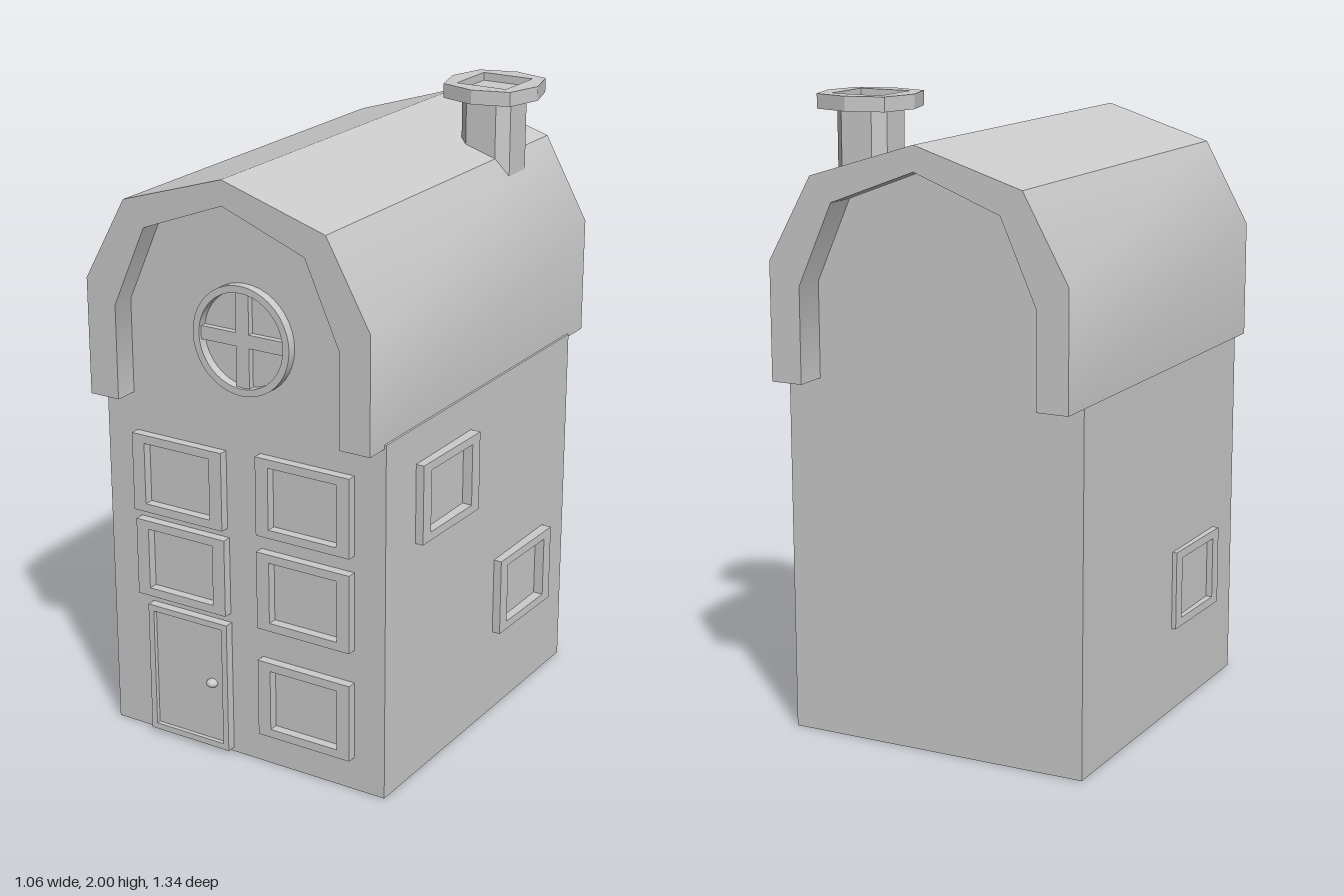
import * as THREE from 'three';
import { toCreasedNormals } from 'three/addons/utils/BufferGeometryUtils.js';

const material = new THREE.MeshStandardMaterial({ color: 0xcccccc });
const FRONT = 0.59, BACK = -0.56;

const vectors = (points) => points.map(([x, y]) => new THREE.Vector2(x, y));
const rectangle = (w, h) => vectors([[-w / 2, -h / 2], [w / 2, -h / 2], [w / 2, h / 2], [-w / 2, h / 2]]);

function addMesh(parent, name, geometry, x = 0, y = 0, z = 0) {
  const mesh = new THREE.Mesh(geometry, material);
  mesh.name = name;
  mesh.position.set(x, y, z);
  parent.add(mesh);
  return mesh;
}

// Flat outline with an optional hole, extruded along +z
function slab(outline, depth, hole) {
  const shape = new THREE.Shape(outline);
  if (hole) shape.holes.push(new THREE.Path(hole));
  return new THREE.ExtrudeGeometry(shape, { depth, bevelEnabled: false });
}

// Rectangular raised frame; its back sinks slightly into the wall
function addFrame(parent, name, x, y, w, h, border) {
  return addMesh(parent, name, slab(rectangle(w, h), 0.04, rectangle(w - 2 * border, h - 2 * border)), x, y, FRONT - 0.01);
}

function windowGeometry() {
  return slab(rectangle(0.33, 0.255), 0.04, rectangle(0.24, 0.2));
}

function createWalls(house) {
  const outline = vectors([
    [-0.507, 0], [0.494, 0], [0.494, 1.155], [0.42, 1.155], [0.42, 1.45], [0.3, 1.72],
    [-0.01, 1.835], [-0.32, 1.72], [-0.44, 1.45], [-0.44, 1.155], [-0.507, 1.155],
  ]);
  addMesh(house, 'walls', slab(outline, FRONT - BACK), 0, 0, BACK);
}

function createRoof(house) {
  // Half profiles measured from the ridge line
  const outer = [[0.498, 1.142], [0.498, 1.512], [0.351, 1.776], [0, 1.885]];
  const inner = [[0, 1.807], [0.28, 1.7], [0.395, 1.442], [0.395, 1.142]];
  const mirror = (points) => points.map(([x, y]) => [-x, y]).reverse();
  const profile = [...outer, ...mirror(outer.slice(0, 3)), ...mirror(inner.slice(1)), ...inner];
  const geometry = toCreasedNormals(slab(vectors(profile), 1.336), 0.54);
  addMesh(house, 'gambrelRoof', geometry, -0.011, 0, -0.668);
}

function createChimney(house) {
  const chimney = new THREE.Group();
  chimney.name = 'chimney';
  chimney.position.set(0.287, 0, -0.4);
  house.add(chimney);
  const a = 0.086, b = 0.052;
  const shaft = vectors([[a, -b], [a, b], [b, a], [-b, a], [-a, b], [-a, -b], [-b, -a], [b, -a]]);
  const r = 0.151, d = 0.117;
  const cap = vectors([[r, 0], [d, d], [0, r], [-d, d], [-r, 0], [-d, -d], [0, -r], [d, -d]]);
  const upright = (geometry) => geometry.rotateX(-Math.PI / 2);
  addMesh(chimney, 'chimneyShaft', upright(slab(shaft, 0.32)), 0, 1.64);
  addMesh(chimney, 'capBase', upright(slab(cap, 0.02)), 0, 1.955);
  addMesh(chimney, 'capRim', upright(slab(cap, 0.025, rectangle(0.172, 0.172))), 0, 1.975);
}

function createWindows(house) {
  // Front windows
  for (const [x, y] of [[-0.232, 0.893], [-0.226, 0.608], [0.222, 0.91], [0.222, 0.601], [0.222, 0.237]]) {
    addMesh(house, 'frontWindow', windowGeometry(), x, y, FRONT - 0.01);
  }
  // Side windows, set very slightly askew
  for (const [side, y, z] of [[1, 0.91, 0.253], [1, 0.406, -0.248], [-1, 0.406, 0.265]]) {
    const frame = addMesh(house, 'sideWindow', windowGeometry(), side > 0 ? 0.484 : -0.485, y, z);
    frame.rotation.y = side * Math.PI / 2 - 0.02;
  }
}

function createRoundWindow(house) {
  const group = new THREE.Group();
  group.name = 'roundWindow';
  group.position.set(0.013, 1.39, FRONT);
  house.add(group);
  const circle = (radius) => new THREE.Path().absarc(0, 0, radius, 0, Math.PI * 2).getPoints(20).slice(0, -1);
  addMesh(group, 'roundFrame', toCreasedNormals(slab(circle(0.17), 0.04, circle(0.148)), 0.6), 0, 0, -0.01);
  addMesh(group, 'verticalBar', new THREE.BoxGeometry(0.046, 0.31, 0.03), 0, 0, 0.005);
  addMesh(group, 'horizontalBar', new THREE.BoxGeometry(0.31, 0.042, 0.03), 0, 0, 0.005);
}

function createDoor(house) {
  addFrame(house, 'doorFrame', -0.207, 0.232, 0.297, 0.436, 0.02);
  addMesh(house, 'doorPanel', new THREE.BoxGeometry(0.27, 0.41, 0.03), -0.207, 0.232, FRONT + 0.001);
  const knob = addMesh(house, 'doorKnob', new THREE.SphereGeometry(0.019, 16, 12), -0.123, 0.232, FRONT + 0.021);
  knob.scale.y = 0.75;
}

export function createModel() {
  const house = new THREE.Group();
  house.name = 'house';
  createWalls(house);
  createRoof(house);
  createChimney(house);
  createWindows(house);
  createRoundWindow(house);
  createDoor(house);
  return house;
}
